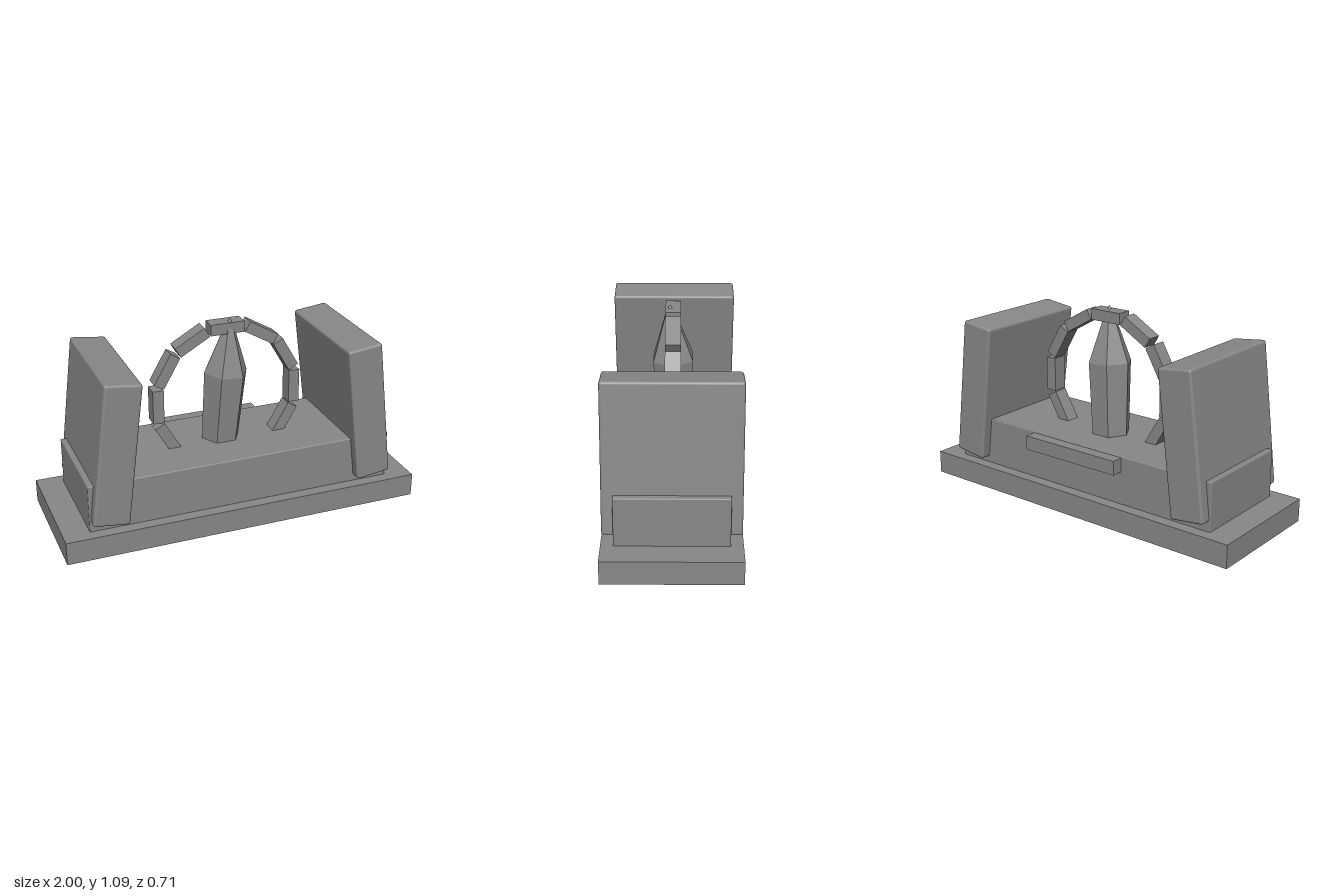
import * as THREE from 'three';
import { RoundedBoxGeometry } from 'three/addons/geometries/RoundedBoxGeometry.js';

const stone = new THREE.MeshStandardMaterial({ color: 0x888888 });
stone.name = 'grey stone';

function add(parent, name, geometry, x, y, z) {
  const mesh = new THREE.Mesh(geometry, stone);
  mesh.name = name;
  mesh.position.set(x, y, z);
  parent.add(mesh);
  return mesh;
}

// Faceted tapering column section standing on its own base
function facet(rTop, rBottom, height, sides) {
  const g = new THREE.CylinderGeometry(rTop, rBottom, height, sides);
  g.rotateY(Math.PI / 2).translate(0, height / 2, 0);
  const flat = g.toNonIndexed();
  flat.computeVertexNormals();
  return flat;
}

export function createModel() {
  const model = new THREE.Group();
  model.name = 'crystalGate';

  // Plinth and main block
  add(model, 'base', new THREE.BoxGeometry(2, 0.128, 0.706), 0, 0.064, 0);
  add(model, 'body', new RoundedBoxGeometry(1.715, 0.285, 0.578, 2, 0.006), 0, 0.2505, 0);

  // Ledge on the back of the block
  add(model, 'backLedge', new THREE.BoxGeometry(0.604, 0.078, 0.08), 0, 0.348, -0.313);

  // Two slabs leaning towards the middle
  for (const side of [-1, 1]) {
    const slab = add(model, side > 0 ? 'leftSlab' : 'rightSlab',
      new RoundedBoxGeometry(0.197, 0.781, 0.694, 3, 0.014), side * 0.706, 0.56, 0);
    slab.rotation.z = side * THREE.MathUtils.degToRad(7);
  }

  // Ring of separate blocks, its lowest part sunk in the body
  const ring = new THREE.Group();
  ring.name = 'ring';
  ring.position.set(0, 0.648, 0);
  const block = new THREE.BoxGeometry(0.061, 0.188, 0.082);
  for (let i = 0; i < 12; i++) {
    const a = (i * Math.PI) / 6;
    const m = add(ring, 'ringBlock', block, 0.391 * Math.cos(a), 0.391 * Math.sin(a), 0);
    m.rotation.z = a;
  }
  model.add(ring);

  // Leaning six-sided crystal with a small pointed tip
  const crystal = new THREE.Group();
  crystal.name = 'crystal';
  crystal.position.set(-0.023, 0.36, -0.022);
  crystal.quaternion.setFromUnitVectors(
    new THREE.Vector3(0, 1, 0), new THREE.Vector3(0.06, 1, 0.055).normalize());
  add(crystal, 'crystalShaft', facet(0.122, 0.106, 0.425, 6), 0, 0, 0);
  add(crystal, 'crystalPoint', facet(0.02, 0.122, 0.28, 6), 0, 0.425, 0);
  add(crystal, 'crystalTip', facet(0, 0.016, 0.025, 10), 0, 0.705, 0);
  model.add(crystal);

  return model;
}
